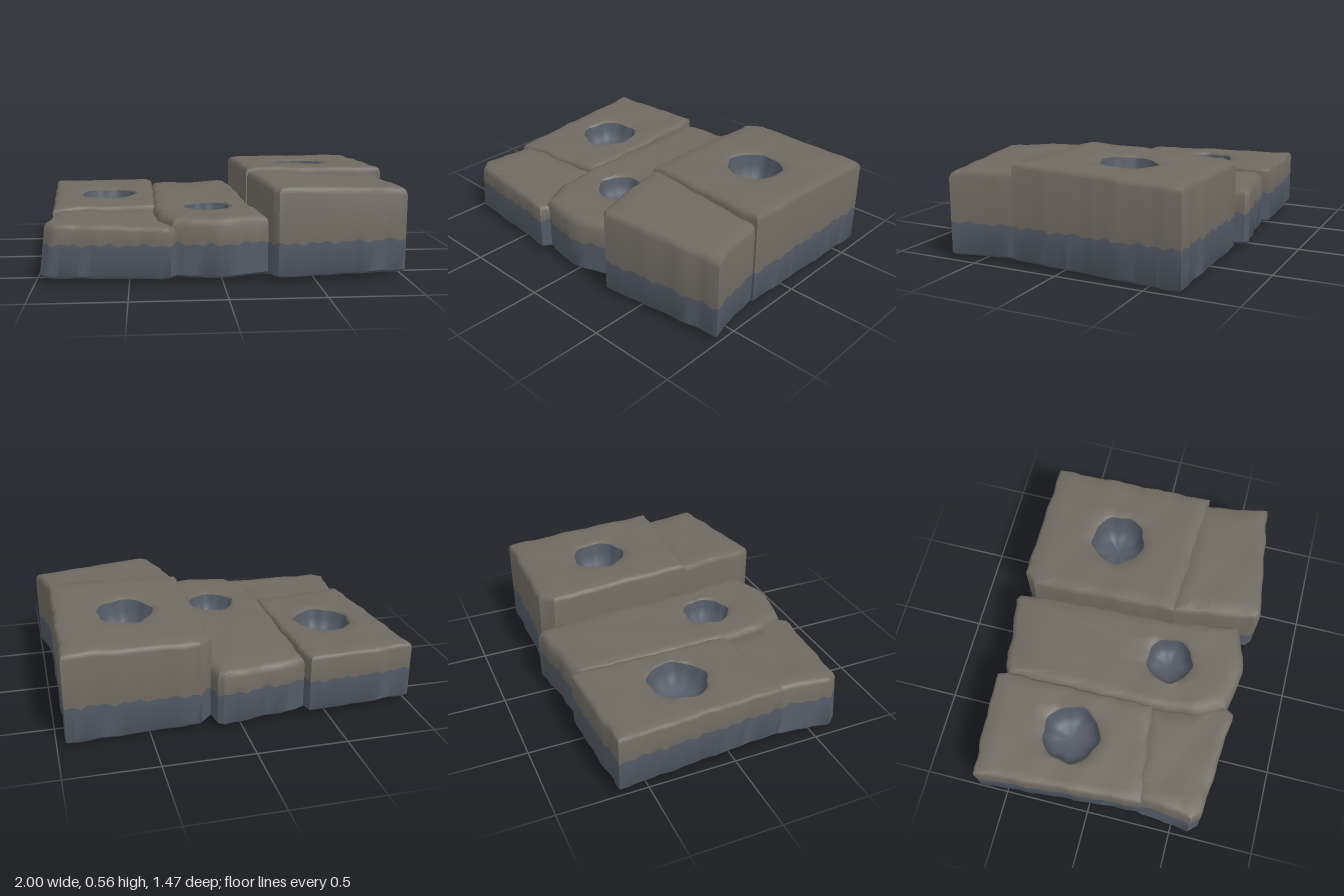
import * as THREE from 'three';
import { toCreasedNormals } from 'three/addons/utils/BufferGeometryUtils.js';

const upperMat = new THREE.MeshStandardMaterial({ color: 0x6f6a61 });
const lowerMat = new THREE.MeshStandardMaterial({ color: 0x545b66 });

// Smooth wobble that roughens the stone
const wobble = (x, y, z) =>
  Math.sin(x * 17 + z * 9 + y * 5) * 0.5 + Math.sin(z * 23 - x * 11 + y * 31) * 0.5;

// Underside dips toward the back left corner
const underside = (x, z) =>
  0.03 - 0.03 * THREE.MathUtils.clamp((x - 0.15) / 0.75, 0, 1) * THREE.MathUtils.clamp((0.35 - z) / 0.95, 0, 1);

// Split the outline into short, slightly rough steps
function resample(corners) {
  const points = [];
  corners.forEach(([x, z], i) => {
    const [x2, z2] = corners[(i + 1) % corners.length];
    const n = Math.max(1, Math.round(Math.hypot(x2 - x, z2 - z) / 0.045));
    for (let k = 0; k < n; k++) {
      const px = x + (x2 - x) * k / n, pz = z + (z2 - z) * k / n;
      const w = k ? 0.006 * wobble(px * 2, 0, pz * 2) : 0;
      points.push([px + w, pz + w]);
    }
  });
  return points;
}

// Skin a stack of closed rings
function loft(rings, material, name) {
  const n = rings[0].length, index = [];
  for (let r = 0; r < rings.length - 1; r++) {
    for (let i = 0; i < n; i++) {
      const a = r * n + i, a1 = r * n + (i + 1) % n;
      index.push(a, a + n, a1, a + n, a1 + n, a1);
    }
  }
  const geometry = new THREE.BufferGeometry();
  geometry.setAttribute('position', new THREE.Float32BufferAttribute(rings.flat(2), 3));
  geometry.setIndex(index);
  const mesh = new THREE.Mesh(toCreasedNormals(geometry, 0.75), material);
  mesh.name = name;
  return mesh;
}

// One stone: outline, tilted top, optional round hollow
function slab({ name, corners, top, centre, hole = 0, depth = 0.15, bevel = 0.02, lean = 0 }) {
  const [cx, cz] = centre;
  const outline = resample(corners);
  const inset = (d) => outline.map(([x, z]) => [
    x - THREE.MathUtils.clamp((x - cx) / 0.15, -1, 1) * d,
    z - THREE.MathUtils.clamp((z - cz) / 0.15, -1, 1) * d,
  ]);
  const ring = (points, height) => points.map(([x, z], i) => {
    const y = height(x, z, i);
    return [x < -0.8 ? x + lean * y : x, y, z];
  });
  const topAt = (drop) => (x, z) => top(x, z) - drop + 0.004 * wobble(x, 0, z);
  const inner = inset(bevel);

  // Points around the hollow, on the same rays as the outline
  const circle = (radius) => inner.map(([x, z]) => {
    const a = Math.atan2(z - cz, x - cx);
    const r = radius * (1 + 0.035 * Math.sin(a * 5 + cx * 9) + 0.02 * Math.sin(a * 9));
    return [cx + Math.cos(a) * r, cz + Math.sin(a) * r];
  });
  const mix = (a, b, t) => a.map(([x, z], i) => [x + (b[i][0] - x) * t, z + (b[i][1] - z) * t]);

  const tone = ring(outline, (x, z, i) => 0.212 + (i % 2 ? 0.014 : -0.012) * (0.6 + 0.4 * Math.sin(i * 1.7)));
  const rim = circle(hole);
  const group = new THREE.Group();
  group.name = name;
  group.add(loft([
    ring(circle(0), underside),
    ring(inset(0.012), underside),
    ring(outline, (x, z) => underside(x, z) + 0.014),
    tone,
  ], lowerMat, 'lowerStone'));
  group.add(loft([
    tone,
    ring(outline, topAt(bevel * 1.3)),
    ring(inset(bevel * 0.35), topAt(bevel * 0.4)),
    ring(inner, topAt(0)),
    ...[0.25, 0.5, 0.75, 0.93].map((t) => ring(mix(inner, rim, t), topAt(0))),
    ring(rim, topAt(hole ? 0.012 : 0)),
  ], upperMat, 'upperStone'));
  if (hole) {
    const bowl = [[1, 0.012], [0.93, depth * 0.4], [0.83, depth * 0.75], [0.62, depth * 0.94], [0, depth]];
    group.add(loft(bowl.map(([s, d]) => ring(circle(hole * s), topAt(d))), lowerMat, 'hollow'));
  }
  return group;
}

export function createModel() {
  const model = new THREE.Group();
  model.name = 'stoneSlabs';
  const slabs = [
    {
      name: 'rightBackSlab', centre: [-0.64, -0.18], hole: 0.165, bevel: 0.018,
      corners: [[-1, -0.66], [-0.7, -0.685], [-0.39, -0.7], [-0.37, -0.64], [-0.355, 0.24], [-0.93, 0.31], [-0.95, 0]],
      top: (x, z) => 0.352 - 0.018 * z,
    },
    {
      name: 'rightFrontSlab', centre: [-0.63, 0.47], bevel: 0.022, lean: 0.12,
      corners: [[-0.935, 0.28], [-0.36, 0.22], [-0.33, 0.5], [-0.245, 0.66], [-0.28, 0.71], [-0.6, 0.68], [-0.93, 0.655], [-0.98, 0.6]],
      top: (x, z) => 0.335 - 0.035 * (x + 0.95) - 0.02 * (z - 0.3),
    },
    {
      name: 'middleSlab', centre: [-0.06, 0.27], hole: 0.135, depth: 0.14, bevel: 0.032,
      corners: [[-0.37, -0.65], [-0.32, -0.675], [-0.1, -0.7], [0.11, -0.74], [0.14, -0.72], [0.17, -0.55], [0.2, 0.22],
        [0.25, 0.63], [0.16, 0.66], [0.08, 0.69], [-0.02, 0.71], [-0.2, 0.68], [-0.27, 0.66], [-0.345, 0.5], [-0.37, 0.2]],
      top: (x, z) => 0.35 - 0.012 * Math.max(0, -z - 0.15),
    },
    {
      name: 'leftBackSlab', centre: [0.55, -0.2], hole: 0.155, depth: 0.19, bevel: 0.022,
      corners: [[0.15, -0.62], [0.22, -0.69], [0.6, -0.685], [0.95, -0.68], [0.945, 0.28], [0.17, 0.235]],
      top: (x, z) => 0.55 + 0.043 * (z - 0.05),
    },
    {
      name: 'leftFrontSlab', centre: [0.58, 0.47], bevel: 0.025,
      corners: [[0.175, 0.22], [0.93, 0.25], [0.955, 0.45], [1, 0.64], [0.6, 0.69], [0.29, 0.73], [0.26, 0.7], [0.22, 0.5]],
      top: (x, z) => 0.537 - 0.042 * (x - 0.2) - 0.03 * (z - 0.25),
    },
  ];
  slabs.forEach((s) => model.add(slab(s)));
  return model;
}
